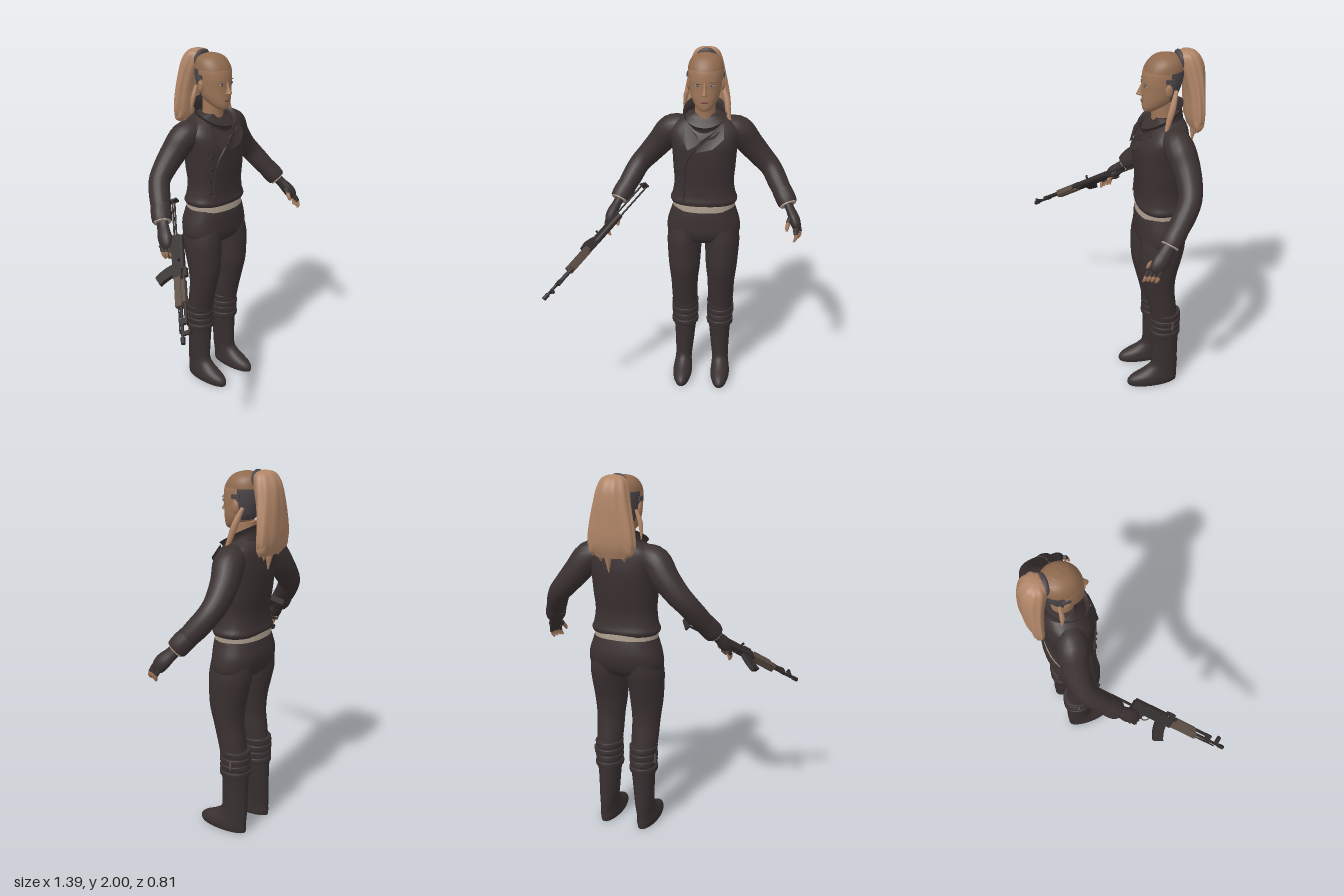
import * as THREE from 'three';

const mat = (name, color, side = THREE.FrontSide) => {
  const m = new THREE.MeshStandardMaterial({ color, side });
  m.name = name;
  return m;
};
const V = (x, y, z) => new THREE.Vector3(x, y, z);

// Catmull-Rom subdivision of rows of numbers
function smooth(rows, steps = 4) {
  const out = [], at = i => rows[Math.min(rows.length - 1, Math.max(0, i))];
  for (let i = 0; i < rows.length - 1; i++) {
    const [a, b, c, d] = [at(i - 1), at(i), at(i + 1), at(i + 2)];
    for (let k = 0; k < steps; k++) {
      const t = k / steps;
      out.push(b.map((p, j) => p + 0.5 * t * (c[j] - a[j] + t * (2 * a[j] - 5 * p + 4 * c[j] - d[j]
        + t * (3 * (p - c[j]) + d[j] - a[j])))));
    }
  }
  out.push(rows[rows.length - 1]);
  return out;
}

// Closed surface through rings of points, with end caps
function skinRings(rings, cap = true) {
  const n = rings[0].length, pos = [], idx = [];
  rings.forEach(r => r.forEach(p => pos.push(p.x, p.y, p.z)));
  for (let j = 0; j < rings.length - 1; j++) for (let i = 0; i < n; i++) {
    const a = j * n + i, b = j * n + (i + 1) % n;
    idx.push(a, b, b + n, a, b + n, a + n);
  }
  if (cap) [rings[0], rings[rings.length - 1]].forEach((r, e) => {
    const s = pos.length / 3, mid = V(0, 0, 0);
    r.forEach(p => { mid.addScaledVector(p, 1 / n); pos.push(p.x, p.y, p.z); });
    pos.push(mid.x, mid.y, mid.z);
    for (let i = 0; i < n; i++) {
      const a = s + i, b = s + (i + 1) % n;
      e ? idx.push(a, b, s + n) : idx.push(b, a, s + n);
    }
  });
  const g = new THREE.BufferGeometry();
  g.setAttribute('position', new THREE.Float32BufferAttribute(pos, 3));
  g.setIndex(idx);
  g.computeVertexNormals();
  return g;
}

// Horizontal rings, bottom to top: [y, x, z, radiusX, radiusZ]
function loft(rows, { n = 28, p = 2, steps = 4, cap = true, tilt = 0, ridge = 0 } = {}) {
  const f = v => Math.sign(v) * Math.abs(v) ** (2 / p);
  return skinRings(smooth(rows, steps).map(([y, x, z, rx, rz]) =>
    Array.from({ length: n }, (_, i) => {
      const a = i / n * Math.PI * 2, k = 1 + ridge * Math.cos(a * 9);
      const dz = rz * f(Math.cos(a)) * k;
      return V(x + rx * f(Math.sin(a)) * k, y - tilt * dz, z + dz);
    })), cap);
}

// Round limb along a path: [x, y, z, radius]
function limb(path, n = 16, flat = 1) {
  const rows = smooth(path, 4), P = rows.map(r => V(r[0], r[1], r[2]));
  return skinRings(rows.map((r, j) => {
    const t = P[Math.min(j + 1, P.length - 1)].clone().sub(P[Math.max(j - 1, 0)]).normalize();
    const u = V(0, 0, 1).cross(t).normalize(), v = u.clone().cross(t);
    return Array.from({ length: n }, (_, i) => {
      const a = i / n * Math.PI * 2;
      return P[j].clone().addScaledVector(u, r[3] * flat * Math.sin(a)).addScaledVector(v, r[3] * Math.cos(a));
    });
  }));
}

// Sort triangles into material groups by their centre
function paint(g, pick, count) {
  const id = g.index.array, p = g.attributes.position, lists = Array.from({ length: count }, () => []);
  for (let i = 0; i < id.length; i += 3) {
    const t = [id[i], id[i + 1], id[i + 2]], c = V(0, 0, 0);
    t.forEach(k => c.add(V(p.getX(k), p.getY(k), p.getZ(k))));
    lists[pick(c.divideScalar(3))].push(...t);
  }
  let s = 0;
  lists.forEach((l, m) => { g.addGroup(s, l.length, m); s += l.length; });
  g.setIndex(lists.flat());
  return g;
}

export function createModel() {
  const cloth = mat('dark cloth', 0x3b3131, THREE.DoubleSide), leather = mat('boot leather', 0x393030);
  const skin = mat('skin', 0xa0775a), hair = mat('hair', 0xb08567, THREE.DoubleSide), scalp = mat('swept hair', 0x8f6a4e);
  const shaved = mat('shaved side', 0x4c464a), linen = mat('linen', 0xa8998a), lip = mat('lips', 0x855248);
  const metal = mat('gun metal', 0x322c2c), wood = mat('worn wood', 0x584a42);
  const root = new THREE.Group(), body = new THREE.Group();
  body.name = 'figure';
  body.position.x = 0.135;
  root.add(body);
  const add = (name, g, m, parent = body) => {
    const mesh = new THREE.Mesh(g, m);
    mesh.name = name;
    parent.add(mesh);
    return mesh;
  };

  // Jacket, shirt hem and trousers
  const torso = add('jacket', loft([[1.155, 0, -.187, .182, .124], [1.175, 0, -.188, .19, .129], [1.21, 0, -.187, .177, .122],
    [1.28, 0, -.185, .168, .12], [1.36, 0, -.188, .174, .13], [1.45, 0, -.191, .18, .137], [1.51, 0, -.194, .188, .136],
    [1.57, 0, -.203, .195, .12], [1.615, 0, -.215, .17, .1], [1.645, 0, -.22, .12, .08], [1.665, 0, -.215, .08, .068]],
  { p: 2.4, n: 36 }), cloth);
  add('shirtHem', loft([[1.125, 0, -.19, .178, .13], [1.15, 0, -.19, .178, .126], [1.17, 0, -.19, .176, .122]], { p: 2.2, tilt: .06 }), linen);
  add('hips', loft([[.91, 0, -.185, .15, .07], [.935, 0, -.187, .19, .108], [.98, 0, -.19, .21, .13], [1.04, 0, -.195, .206, .136],
    [1.1, 0, -.192, .187, .131], [1.16, 0, -.19, .168, .118]], { p: 2.3 }), cloth);

  // Height of a surface seen from the front, for laying details on it
  const ray = new THREE.Raycaster();
  const frontZ = (mesh, x, y) => {
    ray.set(V(x, y, 2), V(0, 0, -1));
    const hit = ray.intersectObject(mesh, false)[0];
    return hit ? hit.point.z : -.2;
  };
  const seam = (name, pts, r) => add(name, new THREE.TubeGeometry(new THREE.CatmullRomCurve3(
    pts.map(([x, y]) => V(x, y, frontZ(torso, x, y)))), 32, r, 6), cloth);
  seam('jacketClosure', [[.1, 1.6], [.06, 1.56], [0, 1.54], [-.05, 1.49], [-.09, 1.42], [-.105, 1.3], [-.11, 1.18]], .008);
  for (let i = 0; i < 4; i++) {
    const y = 1.45 - i * .07, x = -.125;
    add('closureTab', new THREE.BoxGeometry(.035, .016, .012), cloth).position.set(x, y, frontZ(torso, x, y));
  }

  // Standing collar and lapels
  add('collar', loft([[1.6, 0, -.195, .115, .105], [1.65, 0, -.188, .108, .105], [1.675, 0, -.183, .122, .118]],
    { cap: false, tilt: .55, n: 32 }), cloth);
  const lapel = (name, pts) => {
    const g = new THREE.ShapeGeometry(new THREE.Shape(pts.map(([x, y]) => new THREE.Vector2(x, y)))), p = g.attributes.position;
    for (let i = 0; i < p.count; i++) p.setZ(i, frontZ(torso, p.getX(i), p.getY(i)) + .022);
    g.computeVertexNormals();
    add(name, g, cloth);
  };
  lapel('rightLapel', [[-.105, 1.625], [-.12, 1.56], [-.085, 1.49], [-.02, 1.53], [-.035, 1.57]]);
  lapel('leftLapel', [[.105, 1.625], [.035, 1.575], [-.03, 1.53], [-.04, 1.48], [.05, 1.5], [.11, 1.55]]);

  // Limbs, mirrored
  for (const s of [1, -1]) {
    const side = s > 0 ? 'left' : 'right';
    add(side + 'Leg', loft([[.47, s * .107, -.205, .07, .075], [.55, s * .107, -.192, .076, .078], [.65, s * .108, -.174, .079, .085],
      [.75, s * .108, -.166, .09, .1], [.85, s * .109, -.175, .097, .114], [.93, s * .108, -.184, .101, .122], [1.0, s * .1, -.19, .098, .12]]), cloth);
    add(side + 'Boot', loft([[0, s * .115, -.142, .05, .146], [.025, s * .115, -.14, .057, .15], [.055, s * .115, -.152, .055, .137],
      [.09, s * .113, -.188, .05, .103], [.13, s * .111, -.212, .05, .08], [.2, s * .108, -.214, .055, .076],
      [.3, s * .105, -.214, .062, .077], [.38, s * .104, -.213, .07, .08], [.5, s * .105, -.21, .073, .08]]), leather);
    [.365, .405, .445, .485].forEach((y, i) => add(side + 'BootStrap', loft([[y - .016, s * .105, -.213, .074, .08],
      [y - .012, s * .105, -.213, .079 - i % 2 * .003, .087], [y + .012, s * .105, -.213, .079, .087 - i % 2 * .003], [y + .016, s * .105, -.213, .073, .08]]), leather));
    add(side + 'BootBuckle', new THREE.BoxGeometry(.008, .05, .012), wood).position.set(s * .184, .435, -.235);

    add(side + 'Arm', limb([[s * .12, 1.575, -.215, .07], [s * .19, 1.555, -.23, .08], [s * .25, 1.48, -.25, .074], [s * .32, 1.4, -.255, .065],
      [s * .375, 1.34, -.24, .059], [s * .42, 1.265, -.19, .057], [s * .465, 1.19, -.13, .047]], 20), cloth);
    add(side + 'Cuff', limb([[s * .438, 1.235, -.165, .056], [s * .462, 1.195, -.135, .057], [s * .474, 1.172, -.118, .053]]), cloth);
    add(side + 'WristBand', limb([[s * .471, 1.178, -.122, .047], [s * .478, 1.166, -.112, .046]]), linen);
    add(side + 'Glove', limb([[s * .47, 1.18, -.125, .036], [s * .49, 1.145, -.095, .036], [s * .512, 1.105, -.06, .043],
      [s * .524, 1.07, -.035, .036], [s * .526, 1.055, -.025, .02]], 16, .7), leather);
    for (let i = 0; i < 4; i++) {
      const k = i - 1.5, x = .526 - k * .008, z = -.028 + k * .019, y = 1.075 - Math.abs(k) * .004;
      add(side + 'FingerBase', limb([[s * x, y, z, .012], [s * (x + .008), y - .03, z + .014, .0115]], 8), leather);
      add(side + 'Finger', limb([[s * (x + .007), y - .026, z + .012, .0105], [s * (x + .006), y - .048, z + .021, .0095],
        [s * (x - .004), y - .066, z + .026, .006]], 8), skin);
    }
    add(side + 'ThumbBase', limb([[s * .495, 1.12, -.06, .018], [s * .478, 1.09, -.03, .014]], 8), leather);
    add(side + 'Thumb', limb([[s * .48, 1.093, -.033, .012], [s * .472, 1.07, -.012, .011], [s * .472, 1.052, -.002, .006]], 8), skin);
  }

  // Head and neck
  add('neck', loft([[1.58, 0, -.2, .075, .07], [1.64, 0, -.198, .058, .06], [1.74, 0, -.19, .055, .065]]), skin);
  const headShape = loft([[1.692, 0, -.125, .018, .022], [1.7, 0, -.128, .033, .037], [1.725, 0, -.15, .057, .064], [1.765, 0, -.173, .077, .087],
    [1.81, 0, -.184, .087, .097], [1.86, 0, -.19, .094, .105], [1.91, 0, -.195, .096, .102], [1.95, 0, -.202, .085, .085],
    [1.975, 0, -.206, .06, .06], [1.988, 0, -.208, .02, .02]], { n: 40, steps: 6, p: 2.1 });
  const head = add('head', paint(headShape, c => c.y > 1.912 ? 1 : c.z < -.212 && c.y > 1.75 ? 2 : 0, 3), [skin, scalp, shaved]);
  add('nose', loft([[1.778, 0, -.09, .012, .012], [1.785, 0, -.079, .017, .022], [1.795, 0, -.077, .013, .019],
    [1.82, 0, -.084, .008, .013], [1.85, 0, -.092, .007, .008]], { n: 14 }), skin);
  const dab = (name, x, y, w, h, m, lift = 0, roll = 0) => {
    const d = add(name, new THREE.SphereGeometry(1, 14, 8), m);
    d.scale.set(w, h, .004);
    d.position.set(x, y, frontZ(head, x, y) + lift);
    d.rotation.set(0, x * 4, roll);
  };
  dab('lips', 0, 1.747, .024, .008, lip, .001);
  for (const s of [1, -1]) {
    dab('eye', s * .037, 1.835, .016, .006, linen);
    dab('iris', s * .037, 1.835, .007, .006, shaved, .002);
    dab('eyeLine', s * .037, 1.842, .018, .0025, shaved, .001);
    dab('eyebrow', s * .039, 1.858, .02, .0035, scalp, .001, s * -.1);
    const ear = add('ear', new THREE.SphereGeometry(1, 12, 10), skin);
    ear.scale.set(.011, .033, .02);
    ear.position.set(s * .092, 1.82, -.2);
    const clip = add('hairClip', new THREE.BoxGeometry(.008, .022, .045), shaved);
    clip.position.set(s * .098, 1.872, -.205);
  }

  // Ponytail, loose locks and tie
  add('ponytail', loft([[1.59, 0, -.36, .085, .022], [1.64, 0, -.362, .128, .038], [1.7, 0, -.362, .13, .046], [1.78, 0, -.358, .117, .05],
    [1.86, 0, -.348, .1, .058], [1.93, 0, -.333, .085, .064], [1.975, 0, -.32, .068, .054], [1.993, 0, -.315, .045, .035], [2, 0, -.312, .012, .012]],
  { n: 54, ridge: .035 }), hair);
  [[-.1, 1.6], [-.065, 1.57], [-.03, 1.585], [.02, 1.51], [.06, 1.565], [.1, 1.59]].forEach(([x, y]) =>
    add('hairTip', limb([[x * .9, 1.68, -.365, .03], [x, 1.62, -.36, .026], [x * 1.05, y, -.352, .003]], 8), hair));
  const tie = add('hairTie', new THREE.TorusGeometry(.045, .014, 8, 20), shaved);
  tie.position.set(0, 1.945, -.28);
  tie.rotation.x = .25;
  add('leftLock', limb([[.085, 1.82, -.24, .01], [.115, 1.74, -.215, .017], [.127, 1.66, -.19, .014], [.145, 1.595, -.17, .003]], 8), hair);
  add('rightLock', limb([[-.085, 1.82, -.24, .008], [-.11, 1.75, -.24, .013], [-.118, 1.67, -.25, .003]], 8), hair);

  // Rifle: local +z runs to the muzzle, +y to the sights
  const rifle = new THREE.Group();
  rifle.name = 'rifle';
  const d = V(-.56, -.53, .637).normalize(), up = V(.5, .4, .77);
  up.addScaledVector(d, -up.dot(d)).normalize();
  rifle.quaternion.setFromRotationMatrix(new THREE.Matrix4().makeBasis(up.clone().cross(d), up, d));
  rifle.position.set(-.685, .775, .39).addScaledVector(d, -.5);
  root.add(rifle);
  const box = (name, w, h, l, y, z, m = metal, tilt = 0, x = 0) => {
    const b = add(name, new THREE.BoxGeometry(w, h, l), m, rifle);
    b.position.set(x, y, z);
    b.rotation.x = tilt;
  };
  const rod = (name, r, z0, z1, y = 0, x = 0) => {
    const c = add(name, new THREE.CylinderGeometry(r, r, z1 - z0, 10), metal, rifle);
    c.rotation.x = Math.PI / 2;
    c.position.set(x, y, (z0 + z1) / 2);
  };
  rod('barrel', .008, .1, .5);
  rod('muzzleBrake', .012, .465, .5);
  rod('gasTube', .009, .1, .39, .024);
  rod('cleaningRod', .004, .28, .44, -.014);
  box('gasBlock', .018, .04, .03, .012, .38);
  box('frontSight', .012, .045, .022, .022, .445);
  box('frontSightPost', .022, .012, .012, .042, .445);
  box('handguard', .04, .036, .17, -.006, .21, wood);
  box('upperHandguard', .03, .022, .13, .022, .21, wood);
  box('receiver', .034, .05, .26, -.006, -.005);
  rod('receiverCover', .017, -.13, .08, .02);
  box('rearSight', .022, .02, .05, .036, .1);
  box('chargingHandle', .03, .008, .01, .014, .03, metal, 0, -.025);
  box('grip', .026, .085, .036, -.06, -.1, wood, .35);
  const mag = new THREE.Shape();
  mag.moveTo(.035, -.02).quadraticCurveTo(.045, -.09, .085, -.135).lineTo(.135, -.11).quadraticCurveTo(.105, -.07, .1, -.02);
  const magazine = add('magazine', new THREE.ExtrudeGeometry(mag, { depth: .024, bevelEnabled: false, curveSegments: 6 }), metal, rifle);
  magazine.rotation.y = -Math.PI / 2;
  magazine.position.x = .012;
  const guard = add('triggerGuard', new THREE.TorusGeometry(.026, .003, 6, 16, Math.PI), metal, rifle);
  guard.rotation.set(Math.PI, Math.PI / 2, 0);
  guard.position.set(0, -.03, -.035);
  for (const s of [1, -1]) rod('stockRod', .005, -.37, -.12, -.01, s * .013);
  box('buttPlate', .032, .075, .01, -.022, -.372);
  return root;
}
